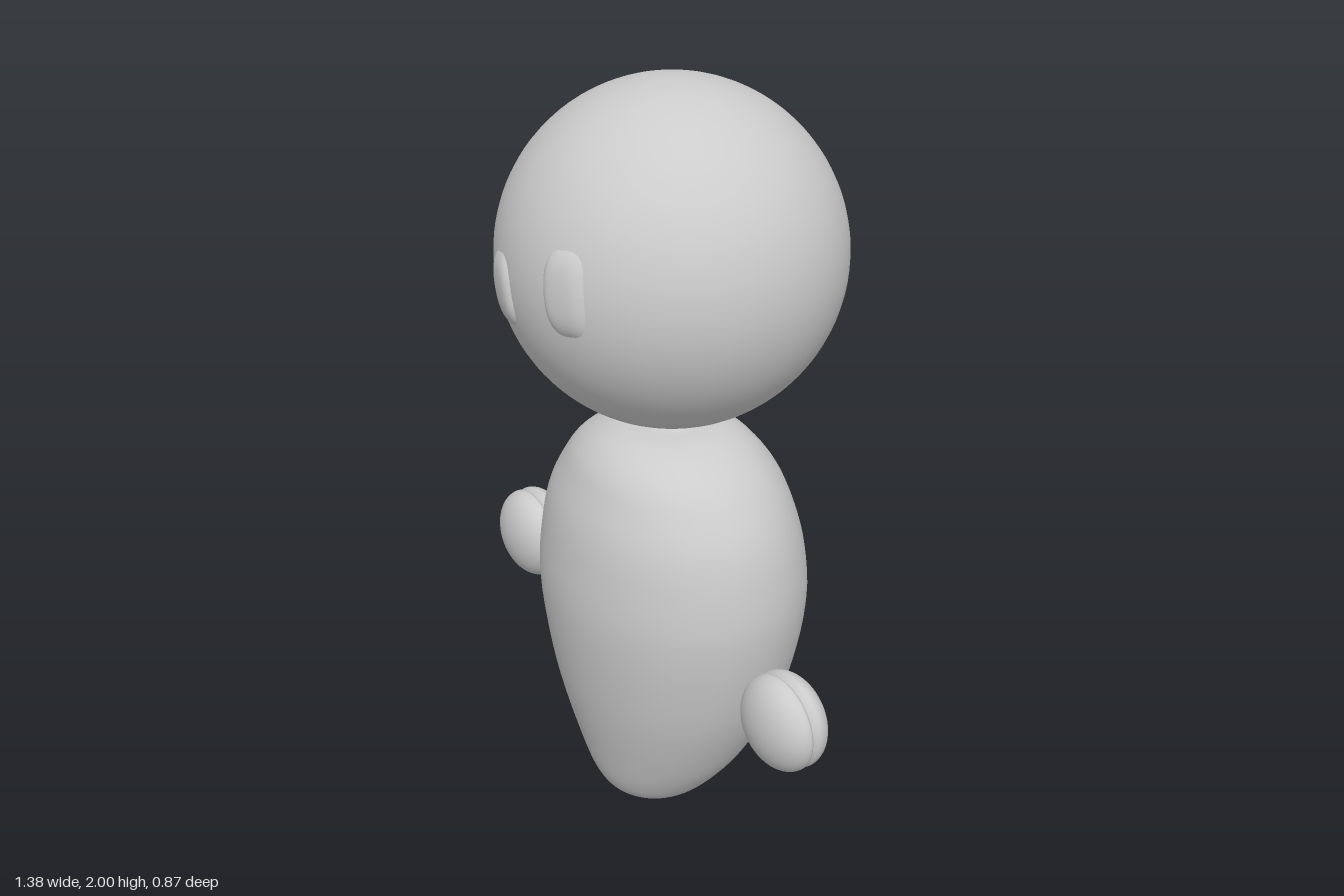
import * as THREE from 'three';

const material = new THREE.MeshStandardMaterial({ color: 0xcccccc, roughness: 0.8 });
const HEAD = new THREE.Vector3(-0.02, 1.567, 0);
const HEAD_R = 0.432;

function addMesh(parent, name, geometry) {
  const mesh = new THREE.Mesh(geometry, material);
  mesh.name = name;
  parent.add(mesh);
  return mesh;
}

// Egg-shaped body: oval sections [y, half width, front z, back z] smoothed by splines
function bodyGeometry() {
  const sections = [
    [0, 0.001, 0.071, 0.069], [0.012, 0.075, 0.145, 0], [0.05, 0.14, 0.205, -0.075],
    [0.1, 0.187, 0.235, -0.13], [0.2, 0.255, 0.264, -0.195], [0.4, 0.345, 0.308, -0.275],
    [0.65, 0.394, 0.335, -0.318], [0.8, 0.384, 0.324, -0.306], [0.9, 0.358, 0.305, -0.28],
    [0.98, 0.315, 0.275, -0.25], [1.04, 0.265, 0.245, -0.21], [1.085, 0.195, 0.2, -0.165],
    [1.11, 0.125, 0.14, -0.11], [1.122, 0.06, 0.065, -0.05], [1.15, 0.05, 0.055, -0.045],
  ];
  const width = new THREE.CatmullRomCurve3(sections.map(s => new THREE.Vector3(s[1], s[0], 0)), false, 'centripetal');
  const depth = new THREE.CatmullRomCurve3(sections.map(s => new THREE.Vector3(s[2], s[0], s[3])), false, 'centripetal');
  const rows = 70;
  const geometry = new THREE.CylinderGeometry(1, 1, 1, 64, rows, true);
  const p = geometry.attributes.position;
  for (let i = 0; i < p.count; i++) {
    const t = Math.round((p.getY(i) + 0.5) * rows) / rows;
    const w = width.getPoint(t), d = depth.getPoint(t);
    const half = (d.x - d.z) / 2, mid = (d.x + d.z) / 2;
    p.setXYZ(i, -0.01 + p.getX(i) * w.x, Math.max(0, w.y), mid + p.getZ(i) * half);
  }
  geometry.computeVertexNormals();
  // Share normals across the seam
  const n = geometry.attributes.normal;
  for (let r = 0; r <= rows; r++) {
    const a = r * 65, b = a + 64;
    const v = new THREE.Vector3().fromBufferAttribute(n, a).add(new THREE.Vector3().fromBufferAttribute(n, b)).normalize();
    n.setXYZ(a, v.x, v.y, v.z);
    n.setXYZ(b, v.x, v.y, v.z);
  }
  return geometry;
}

// Raised rounded pad that follows the curve of the head
function eyeGeometry(x, y, halfW, halfH, tilt) {
  const geometry = new THREE.RingGeometry(0.001, 1, 48, 12);
  const p = geometry.attributes.position;
  const bend = c => Math.sign(c) * Math.pow(Math.abs(c), 0.65);
  for (let i = 0; i < p.count; i++) {
    const r = Math.hypot(p.getX(i), p.getY(i));
    const u = bend(p.getX(i) / r) * r * halfW, v = bend(p.getY(i) / r) * r * halfH;
    const px = x + u * Math.cos(tilt) - v * Math.sin(tilt) - HEAD.x;
    const py = y + u * Math.sin(tilt) + v * Math.cos(tilt) - HEAD.y;
    const lift = 0.016 * (1 - Math.pow(r, 5)) - 0.003;
    const pz = Math.sqrt(HEAD_R * HEAD_R - px * px - py * py) + lift;
    p.setXYZ(i, px, py, pz);
  }
  geometry.computeVertexNormals();
  return geometry;
}

// Hand: two shallow domes pressed together with a groove round the rim
function handGeometry() {
  const points = [];
  const dome = (from, to, sign) => {
    for (let i = from; i !== to; i += Math.sign(to - from)) {
      const a = i / 16 * Math.PI / 2;
      points.push(new THREE.Vector2(Math.max(0, 0.125 * Math.cos(a)), sign * (0.013 + 0.073 * Math.sin(a))));
    }
  };
  dome(16, -1, -1);
  points.push(new THREE.Vector2(0.123, -0.005), new THREE.Vector2(0.115, 0), new THREE.Vector2(0.115, 0.004), new THREE.Vector2(0.123, 0.008));
  dome(0, 17, 1);
  return new THREE.LatheGeometry(points, 48).rotateX(Math.PI / 2);
}

export function createModel() {
  const model = new THREE.Group();
  model.name = 'figure';

  addMesh(model, 'body', bodyGeometry());

  // Head with its two eyes
  const head = new THREE.Group();
  head.name = 'head';
  head.position.copy(HEAD);
  model.add(head);
  addMesh(head, 'skull', new THREE.SphereGeometry(HEAD_R, 64, 48));
  addMesh(head, 'rightEye', eyeGeometry(-0.122, 1.537, 0.056, 0.093, 0.2));
  addMesh(head, 'leftEye', eyeGeometry(0.12, 1.602, 0.056, 0.106, 0.12));

  // Floating hands
  for (const [name, side] of [['leftHand', 1], ['rightHand', -1]]) {
    addMesh(model, name, handGeometry()).position.set(side * 0.565, 0.553, 0.087);
  }
  return model;
}
